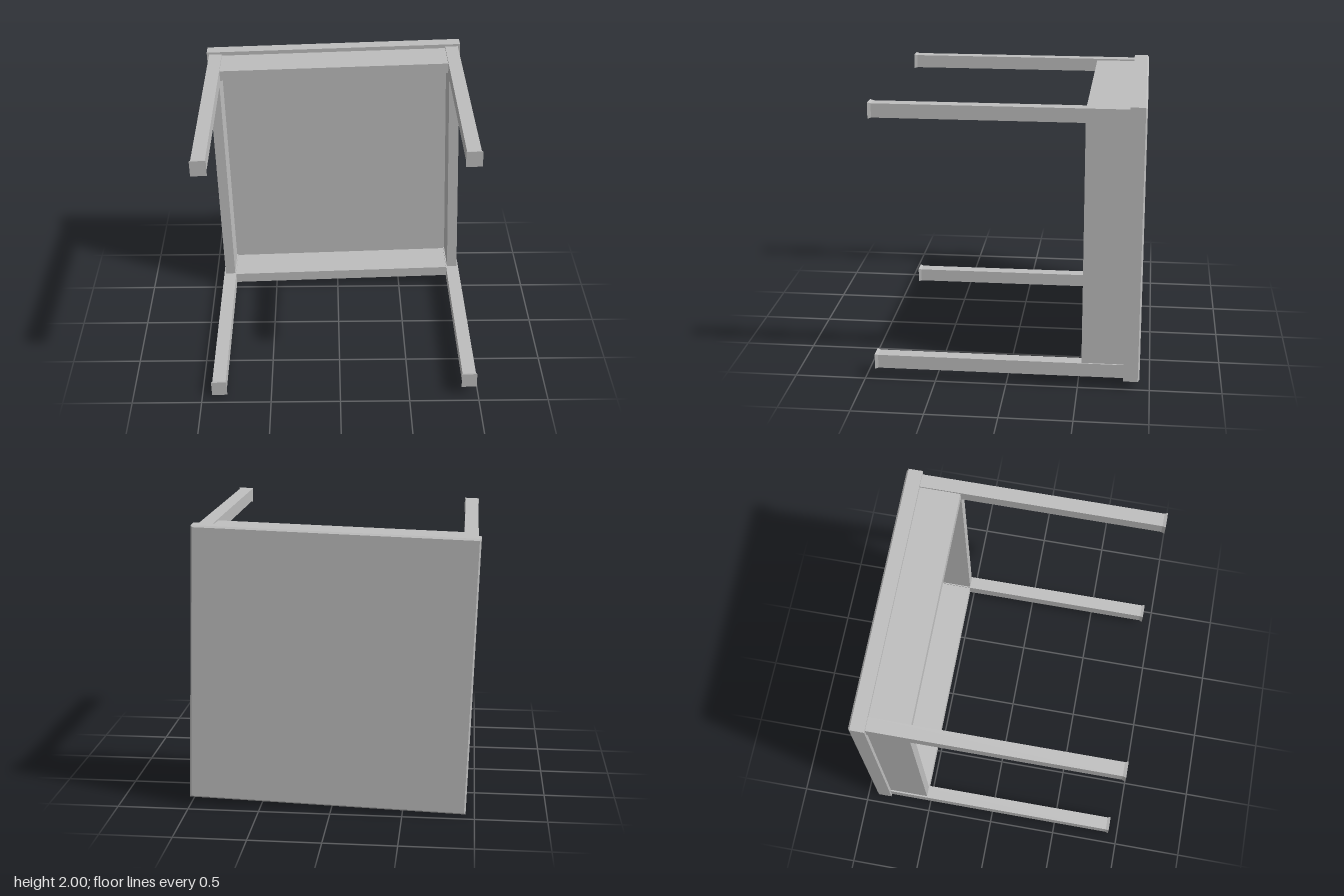
import * as THREE from 'three';

const grey = new THREE.MeshStandardMaterial({ color: 0xbebebe });
grey.name = 'plain grey';

// Square prism along z, from z0 (side s0) to z1 (side s1), with flat faces
function squarePrism(name, s0, s1, z0, z1, openEnded = false) {
  const geo = new THREE.CylinderGeometry(s1 * Math.SQRT1_2, s0 * Math.SQRT1_2, z1 - z0, 4, 1, openEnded)
    .rotateY(Math.PI / 4)
    .rotateX(Math.PI / 2)
    .translate(0, 0, (z0 + z1) / 2)
    .toNonIndexed();
  geo.computeVertexNormals();
  const mesh = new THREE.Mesh(geo, grey);
  mesh.name = name;
  return mesh;
}

export function createModel() {
  const table = new THREE.Group();
  table.name = 'table';

  // Square table top standing upright, chamfered on its outer face
  const side = 1.94, chamfer = 0.012;
  const top = new THREE.Group();
  top.name = 'tableTop';
  const slab = squarePrism('topSlab', side, side, -0.918, -0.817);
  const rim = squarePrism('topChamfer', side - 2 * chamfer, side, -0.93, -0.918);
  top.add(slab, rim);
  table.add(top);

  // Four legs with slightly flared feet
  const legPos = 0.904, legSide = 0.097;
  for (const sx of [-1, 1]) {
    for (const sy of [-1, 1]) {
      const leg = new THREE.Group();
      leg.name = 'leg';
      leg.add(
        squarePrism('legPost', legSide, legSide, -0.817, 0.907),
        squarePrism('foot', legSide, 0.111, 0.907, 0.93)
      );
      leg.position.set(sx * legPos, sy * legPos, 0);
      table.add(leg);
    }
  }

  // Apron boards between the legs
  const inner = 0.864, outer = 0.941, z0 = -0.817, z1 = -0.525;
  const length = 2 * (legPos - legSide / 2);
  for (let i = 0; i < 4; i++) {
    const board = new THREE.Mesh(new THREE.BoxGeometry(length, outer - inner, z1 - z0), grey);
    board.name = 'apronBoard';
    board.geometry.translate(0, (inner + outer) / 2, (z0 + z1) / 2);
    board.rotation.z = i * Math.PI / 2;
    table.add(board);
  }

  // Slight tilt of the whole table
  table.rotation.z = 0.0314;
  table.position.y = 1;

  const model = new THREE.Group();
  model.name = 'tiltedTable';
  model.add(table);
  return model;
}
